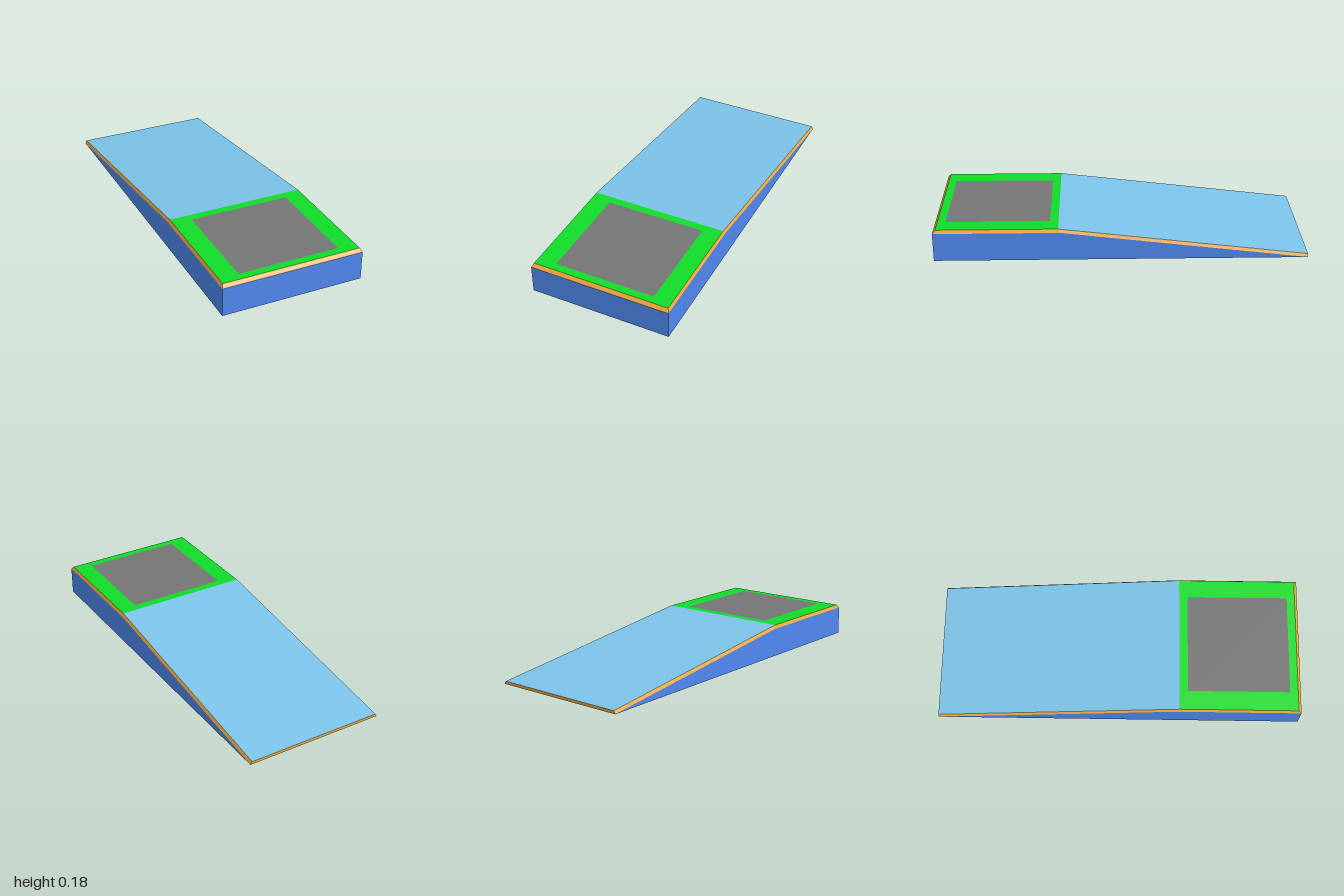
import * as THREE from 'three';

const material = (color) => new THREE.MeshStandardMaterial({ color, side: THREE.DoubleSide, flatShading: true });

// Ruled strip of quads between two rows of [x, y, z] points
function strip(rowA, rowB) {
  const position = [];
  for (let i = 0; i < rowA.length - 1; i++) {
    const [a, b, c, d] = [rowA[i], rowA[i + 1], rowB[i + 1], rowB[i]];
    position.push(...a, ...b, ...c, ...a, ...c, ...d);
  }
  const geometry = new THREE.BufferGeometry();
  geometry.setAttribute('position', new THREE.Float32BufferAttribute(position, 3));
  geometry.computeVertexNormals();
  return geometry;
}

// Closed outline, counter-clockwise seen from above, from the tail around the front
function outline(halfWidth, front, crease, heights) {
  const [high, low] = heights;
  return [
    [-halfWidth, low, -1], [-halfWidth, high, crease], [-halfWidth, high, front],
    [halfWidth, high, front], [halfWidth, high, crease], [halfWidth, low, -1], [-halfWidth, low, -1],
  ];
}

export function createModel() {
  const group = new THREE.Group();
  const blue = material(0x5088f0);
  const add = (name, geometry, mat) => {
    const mesh = new THREE.Mesh(geometry, mat);
    mesh.name = name;
    group.add(mesh);
  };

  const top = 0.18, crease = 0.336, base = 0.004;
  const deckRow = outline(0.38, 0.984, crease, [top, 0.02]);
  const trimRow = outline(0.389, 1, crease - 0.01, [0.162, base]);
  const floorRow = outline(0.389, 1, crease - 0.01, [base, base]);

  // Thin outer walls, tapering to nothing at the tail, and the bevelled trim above them
  add('skirt', strip(floorRow.slice(0, 6), trimRow.slice(0, 6)), blue);
  add('edgeTrim', strip(trimRow, deckRow), material(0xf0a93c));

  // Sloping deck
  add('ramp', strip([deckRow[1], deckRow[4]], [deckRow[0], deckRow[5]]), material(0x7cc4ea));

  // Flat platform with a window for the pad
  const x0 = -0.275, x1 = 0.28, z0 = 0.382, z1 = 0.94;
  const rectangle = (Type, xa, xb, za, zb) => new Type([[xa, -za], [xa, -zb], [xb, -zb], [xb, -za]]
    .map(([x, y]) => new THREE.Vector2(x, y)));
  const platform = rectangle(THREE.Shape, -0.38, 0.38, crease, 0.984);
  platform.holes.push(rectangle(THREE.Path, x0, x1, z0, z1));
  const flat = (shape) => new THREE.ShapeGeometry(shape).rotateX(-Math.PI / 2).translate(0, top, 0);
  add('platform', flat(platform), material(0x10dd28));
  add('pad', flat(rectangle(THREE.Shape, x0, x1, z0, z1)), material(0x757575));

  // Open-bottomed box under the pad
  const boxRow = (y) => [[x0, y, z0], [x0, y, z1], [x1, y, z1], [x1, y, z0], [x0, y, z0]];
  add('padBox', strip(boxRow(0), boxRow(top)), blue);

  return group;
}
